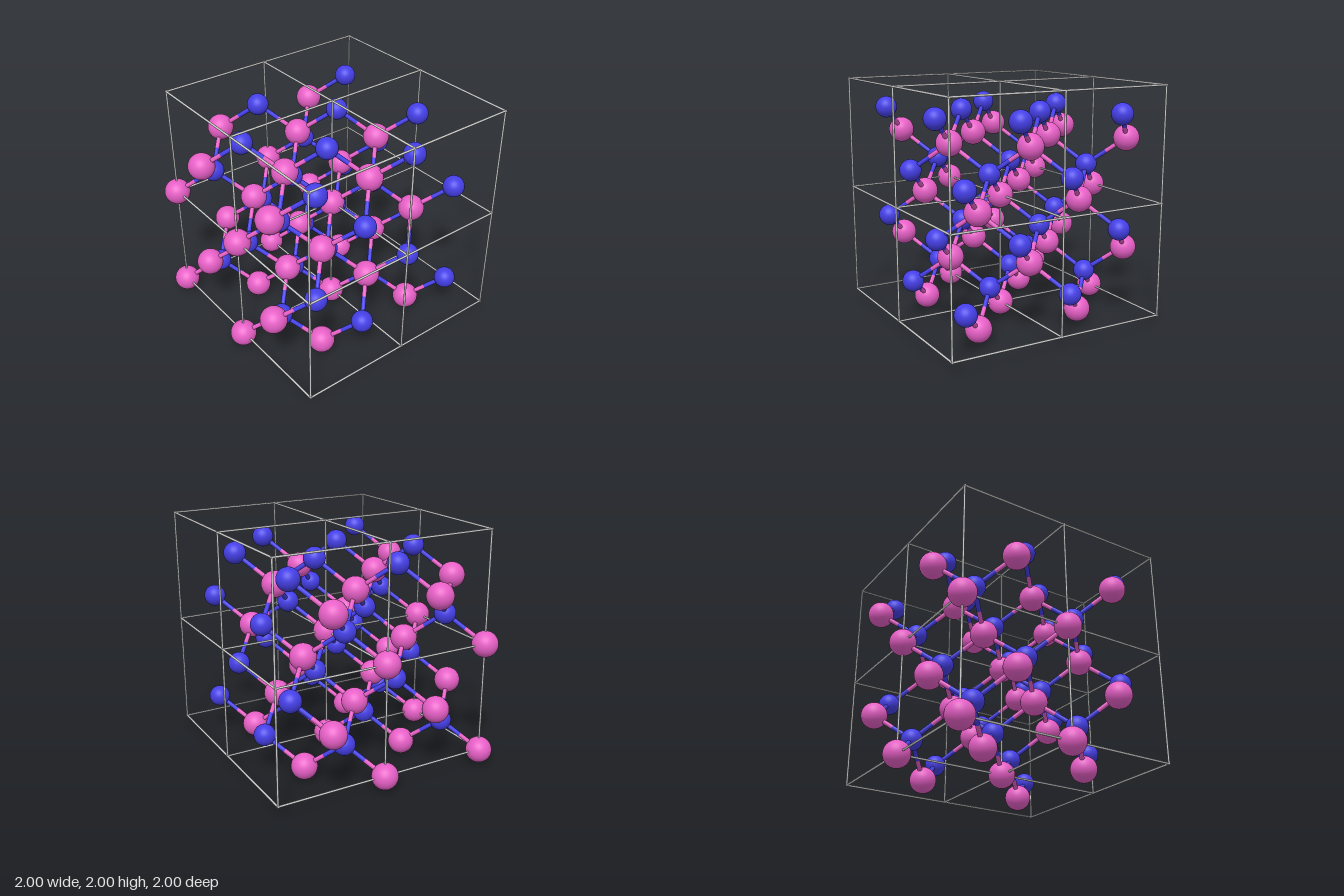
import * as THREE from 'three';

export function createModel() {
  const group = new THREE.Group();
  group.name = 'crystalLattice';

  const material = (name, color) => {
    const m = new THREE.MeshStandardMaterial({ color });
    m.name = name;
    return m;
  };
  const pink = material('pink', 0xec62cb);
  const blue = material('blue', 0x4640ea);
  const grey = material('lightGrey', 0xcccccc);

  const Q = 0.2353;         // quarter of a unit cell
  const PINK_R = 0.1095;
  const BLUE_R = 0.09;
  const WIRE_R = 0.0085;
  const BOND_R = 0.019;

  // Lattice coordinates in quarter cells; the third axis runs towards the back
  const point = (i, j, k) => new THREE.Vector3(
    -1 + PINK_R + i * Q, PINK_R + j * Q, 1 - PINK_R - k * Q);

  const add = (parent, name, geometry, mat, position) => {
    const mesh = new THREE.Mesh(geometry, mat);
    mesh.name = name;
    mesh.position.copy(position);
    parent.add(mesh);
    return mesh;
  };
  const section = (name) => {
    const g = new THREE.Group();
    g.name = name;
    group.add(g);
    return g;
  };

  const up = new THREE.Vector3(0, 1, 0);
  const addRod = (parent, name, geometry, mat, a, b) => {
    const mid = a.clone().add(b).multiplyScalar(0.5);
    const rod = add(parent, name, geometry, mat, mid);
    rod.quaternion.setFromUnitVectors(up, b.clone().sub(a).normalize());
  };

  const atoms = section('atoms');
  const bonds = section('bonds');
  const frame = section('cellFrame');

  const pinkSphere = new THREE.SphereGeometry(PINK_R, 32, 20);
  const blueSphere = new THREE.SphereGeometry(BLUE_R, 32, 20);
  const halfBond = new THREE.CylinderGeometry(
    BOND_R, BOND_R, Q * Math.sqrt(3) / 2, 14, 1, true);

  // Tetrahedral directions from a blue atom to its pink neighbours
  const neighbours = [[-1, -1, -1], [1, 1, -1], [1, -1, 1], [-1, 1, 1]];
  const inside = (n) => n >= 0 && n <= 6;

  // Face-centred pink atoms, each with a blue partner a quarter cell along the diagonal
  for (let i = 0; i <= 6; i += 2) {
    for (let j = 0; j <= 6; j += 2) {
      for (let k = 0; k <= 6; k += 2) {
        if ((i + j + k) % 4 !== 0) continue;
        add(atoms, 'pinkAtom', pinkSphere, pink, point(i, j, k));
        const b = [i + 1, j + 1, k + 1];
        const centre = point(...b);
        add(atoms, 'blueAtom', blueSphere, blue, centre);

        // Two-colour bonds, split at the middle
        for (const d of neighbours) {
          const p = b.map((v, n) => v + d[n]);
          if (!p.every(inside)) continue;
          const end = point(...p);
          const mid = centre.clone().lerp(end, 0.5);
          addRod(bonds, 'blueHalfBond', halfBond, blue, centre, mid);
          addRod(bonds, 'pinkHalfBond', halfBond, pink, mid, end);
        }
      }
    }
  }

  // Wire edges of the two by two by two block of cells
  const wire = new THREE.CylinderGeometry(WIRE_R, WIRE_R, 8 * Q + 2 * WIRE_R, 10);
  for (let u = 0; u <= 8; u += 4) {
    for (let v = 0; v <= 8; v += 4) {
      addRod(frame, 'frameEdgeX', wire, grey, point(0, u, v), point(8, u, v));
      addRod(frame, 'frameEdgeY', wire, grey, point(u, 0, v), point(u, 8, v));
      addRod(frame, 'frameEdgeZ', wire, grey, point(u, v, 0), point(u, v, 8));
    }
  }

  return group;
}
